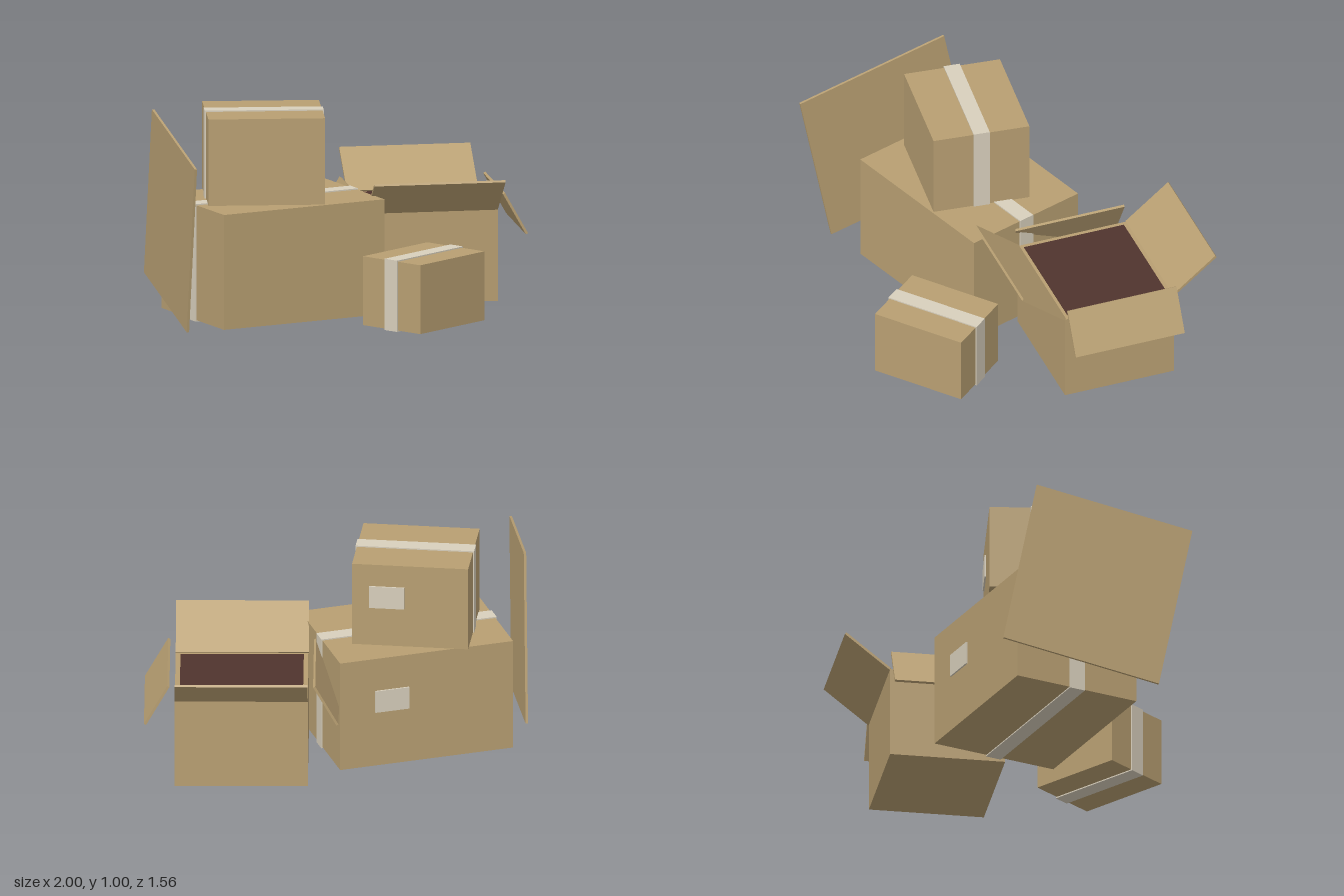
import * as THREE from 'three';

const cardboard = new THREE.MeshStandardMaterial({ color: 0xb89f72 });
cardboard.name = 'cardboard';
const tapeMat = new THREE.MeshStandardMaterial({ color: 0xd8cfbc });
tapeMat.name = 'tape';
const darkInside = new THREE.MeshStandardMaterial({ color: 0x50342d });
darkInside.name = 'dark inside';

function addBox(parent, name, mat, size, pos) {
  const mesh = new THREE.Mesh(new THREE.BoxGeometry(...size), mat);
  mesh.name = name;
  mesh.position.set(...pos);
  parent.add(mesh);
  return mesh;
}

// Closed carton: tape wrapped lengthwise, label on the back
function closedBox(name, [w, h, d], [x, y, z], turn) {
  const g = new THREE.Group();
  g.name = name;
  g.position.set(x, y + h / 2, z);
  g.rotation.y = turn;
  addBox(g, 'carton', cardboard, [w, h, d], [0, 0, 0]);
  const t = 0.006;
  for (const s of [-1, 1]) {
    addBox(g, 'tapeLengthwise', tapeMat, [w + 2 * t, t, 0.08], [0, s * (h + t) / 2, 0]);
    addBox(g, 'tapeEnd', tapeMat, [t, h, 0.08], [s * (w + t) / 2, 0, 0]);
  }
  addBox(g, 'label', tapeMat, [0.17, 0.113, 0.008], [w * 0.2, h * 0.1, -d / 2 - 0.004]);
  return g;
}

// Open carton with four flaps
function openBox() {
  const w = 0.642, h = 0.452, d = 0.562, top = 0.46;
  const g = new THREE.Group();
  g.name = 'openBox';
  g.position.set(0.478, 0, -0.225);
  g.rotation.y = -0.21;
  addBox(g, 'carton', cardboard, [w, h, d], [0, top - h / 2, 0]);
  addBox(g, 'inside', darkInside, [0.595, 0.006, 0.515], [0, top, 0]);
  for (const s of [-1, 1]) {
    // front and back flaps rise outward
    const long = addBox(g, s > 0 ? 'frontFlap' : 'backFlap', cardboard,
      [w, 0.012, 0.28], [0, top + 0.088, s * (d / 2 + 0.108)]);
    long.rotation.x = -s * 0.675;
    // side flaps hang steeply
    const side = addBox(g, s > 0 ? 'leftFlap' : 'rightFlap', cardboard,
      [0.23, 0.012, d], [s * 0.408, 0.433, 0]);
    side.rotation.z = -s * 1.06;
  }
  return g;
}

// Flat sheet leaning on one corner
function leaningSheet() {
  const along = new THREE.Vector3(0.087, 0.155, -0.775).normalize();
  const up = new THREE.Vector3(-0.025, 0.83, 0.17);
  const normal = along.clone().cross(up).normalize();
  up.copy(normal).cross(along).normalize();
  const g = new THREE.Group();
  g.name = 'leaningSheet';
  const sheet = addBox(g, 'sheet', cardboard, [0.79, 0.846, 0.012], [-0.943, 0.508, 0.055]);
  sheet.quaternion.setFromRotationMatrix(new THREE.Matrix4().makeBasis(along, up, normal));
  return g;
}

export function createModel() {
  const model = new THREE.Group();
  model.name = 'cardboardBoxes';
  model.add(
    closedBox('largeBox', [0.875, 0.564, 0.644], [-0.37, 0.007, -0.045], 0.105),
    closedBox('upperBox', [0.564, 0.424, 0.478], [-0.413, 0.572, -0.059], -0.318),
    closedBox('smallBox', [0.477, 0.338, 0.363], [0.193, 0.007, 0.505], 0.482),
    openBox(),
    leaningSheet(),
  );
  return model;
}
